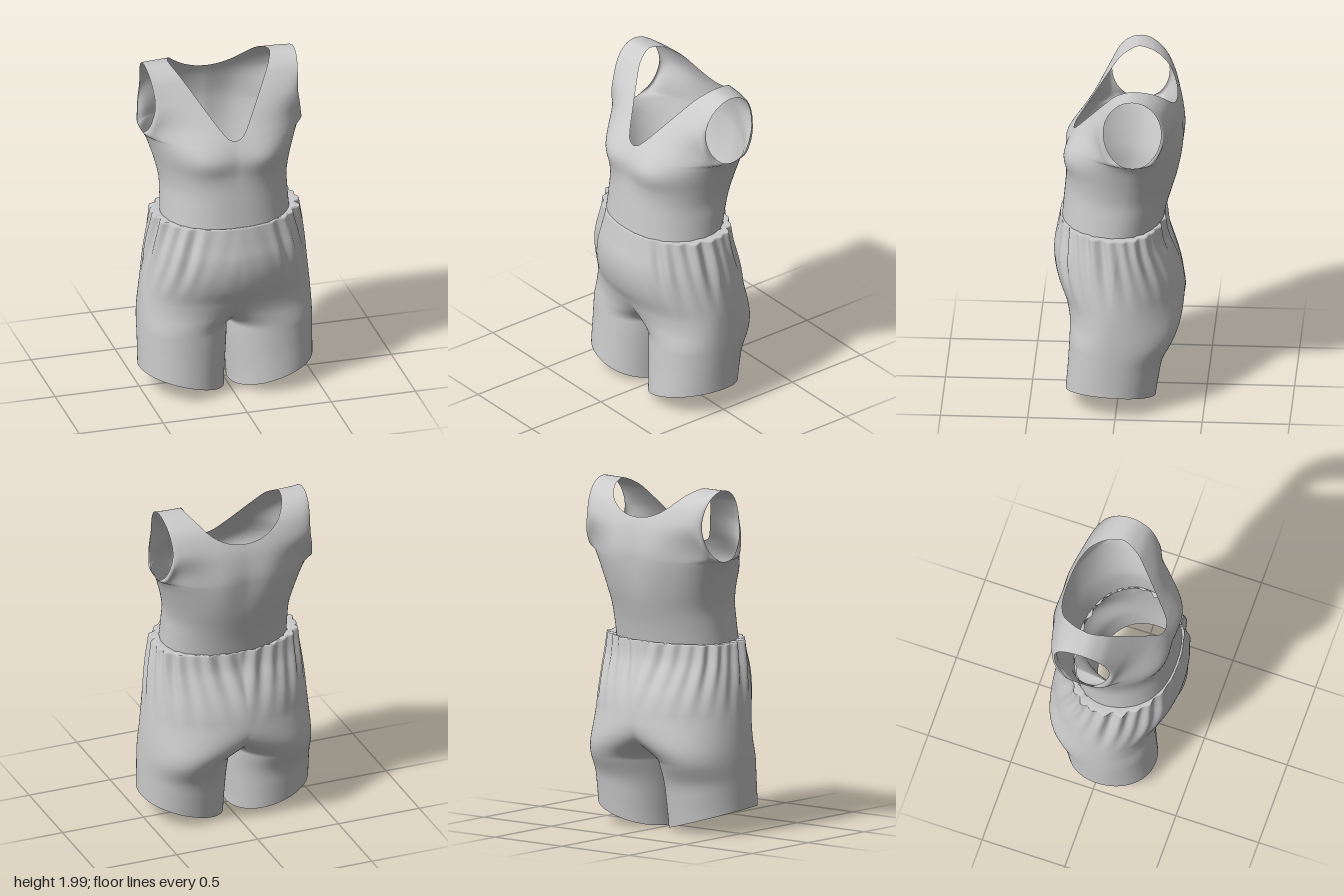
import * as THREE from 'three';
import { mergeVertices } from 'three/addons/utils/BufferGeometryUtils.js';

const { smoothstep, lerp } = THREE.MathUtils;

// Smooth curve through [y, value] points, sorted by y and held beyond the ends.
function curve(pts) {
  const slope = (i) => {
    const a = pts[Math.max(i - 1, 0)], b = pts[Math.min(i + 1, pts.length - 1)];
    return (b[1] - a[1]) / (b[0] - a[0]);
  };
  return (y) => {
    if (y <= pts[0][0]) return pts[0][1];
    for (let i = 0; i < pts.length - 1; i++) {
      const [y0, v0] = pts[i], [y1, v1] = pts[i + 1];
      if (y > y1) continue;
      const h = y1 - y0, t = (y - y0) / h, t2 = t * t, t3 = t2 * t;
      return v0 * (2 * t3 - 3 * t2 + 1) + v1 * (3 * t2 - 2 * t3)
        + h * (slope(i) * (t3 - 2 * t2 + t) + slope(i + 1) * (t3 - t2));
    }
    return pts[pts.length - 1][1];
  };
}

// Sheets are rows of points, top to bottom, on the +x half; each is mirrored and welded.
function clothMesh(name, sheets) {
  const pos = [], index = [];
  for (const rows of sheets) for (const side of [1, -1]) {
    const base = pos.length / 3, n = rows[0].length;
    rows.forEach((row) => row.forEach(([x, y, z]) => pos.push(side * x, y, z)));
    for (let i = 0; i < rows.length - 1; i++) for (let j = 0; j < n - 1; j++) {
      const a = base + i * n + j, b = a + n, c = b + 1, d = a + 1;
      if (side > 0) index.push(a, b, c, a, c, d);
      else index.push(a, c, b, a, d, c);
    }
  }
  let geo = new THREE.BufferGeometry();
  geo.setAttribute('position', new THREE.Float32BufferAttribute(pos, 3));
  geo.setIndex(index);
  geo = mergeVertices(geo, 1e-4);
  geo.computeVertexNormals();
  const mesh = new THREE.Mesh(geo, new THREE.MeshStandardMaterial({ color: 0xcccccc, side: THREE.DoubleSide }));
  mesh.name = name;
  return mesh;
}

// Evenly spaced heights from a down to b, b left out.
const span = (a, b, n) => Array.from({ length: n }, (_, i) => lerp(a, b, i / n));

// Sleeveless top: front and back panels that part around the armholes and meet on the shoulders.
function buildTop() {
  const width = curve([[1.07, 0.375], [1.2, 0.37], [1.3, 0.37], [1.4, 0.39], [1.5, 0.42], [1.55, 0.438],
    [1.59, 0.452], [1.63, 0.452], [1.7, 0.44], [1.8, 0.425], [1.9, 0.43], [2, 0.445]]);
  const front = curve([[1.07, 0.332], [1.2, 0.32], [1.4, 0.302], [1.52, 0.3], [1.62, 0.262], [1.7, 0.21],
    [1.8, 0.135], [1.9, 0.055], [1.95, 0.01], [1.98, -0.04], [1.995, -0.075], [2, -0.095]]);
  const back = curve([[1.07, -0.25], [1.2, -0.28], [1.4, -0.335], [1.6, -0.36], [1.7, -0.357], [1.8, -0.338],
    [1.9, -0.293], [1.95, -0.245], [1.98, -0.19], [1.995, -0.13], [2, -0.095]]);
  const sideZ = curve([[1.07, 0.02], [1.3, -0.03], [1.59, -0.095]]);
  const neckFront = curve([[1.62, 0], [1.63, 0.03], [1.65, 0.055], [1.7, 0.093], [1.8, 0.16], [1.9, 0.226],
    [1.95, 0.26], [2, 0.3]]);
  const neckBack = curve([[1.83, 0], [1.833, 0.04], [1.843, 0.09], [1.87, 0.155], [1.92, 0.222], [1.96, 0.258], [2, 0.3]]);

  const heights = [...span(2, 1.98, 6), ...span(1.98, 1.85, 10), ...span(1.85, 1.83, 6), ...span(1.83, 1.65, 14),
    ...span(1.65, 1.62, 6), ...span(1.62, 1.59, 8), ...span(1.59, 1.07, 30), 1.07];
  const N = 36;
  const panel = (isFront) => heights.map((y) => {
    const xa = width(y), xn = Math.max(0, (isFront ? neckFront : neckBack)(y));
    const sign = isFront ? 1 : -1;
    const hole = y > 1.59 ? sign * 0.165 * Math.sqrt(Math.max(0, 1 - ((y - 1.795) / 0.205) ** 2)) : 0;
    const zs = sideZ(y), zf = (isFront ? front : back)(y);
    const strap = smoothstep(y, 1.59, 1.82);
    const row = Array.from({ length: N + 1 }, (_, j) => {
      const x = xn + (xa - xn) * Math.sin((j / N) * Math.PI / 2), u = x / xa;
      const dome = Math.sqrt(Math.max(0, 1 - u ** (isFront ? 2.4 : 2.15)));
      // Near the armpit only the cloth at the edge follows the armhole
      const low = zs + (zf - zs) * dome + hole * u ** 14;
      const high = zs + hole + (zf - zs - hole) * dome;
      let z = lerp(low, high, strap);
      // Bust on the front, shoulder blades on the back
      if (isFront) z += 0.032 * dome * Math.exp(-(((x - 0.2) / 0.15) ** 2) - ((y - 1.51) / 0.11) ** 2);
      else z -= 0.015 * dome * Math.exp(-(((x - 0.14) / 0.1) ** 2) - ((y - 1.6) / 0.18) ** 2);
      // Armhole edge stands out a little at its foot
      const flare = 0.012 * u ** 14 * Math.exp(-(((y - 1.6) / 0.03) ** 2));
      return [x + flare, y, z];
    });
    return isFront ? row : row.reverse();
  });
  return clothMesh('sleevelessTop', [panel(true), panel(false)]);
}

// Shorts: one half section per height that turns into a closed leg below the crotch.
function buildShorts() {
  const width = curve([[0.08, 0.508], [0.4, 0.508], [0.6, 0.497], [0.8, 0.474], [0.95, 0.453], [1.05, 0.436], [1.105, 0.428]]);
  const front = curve([[0.08, 0.295], [0.3, 0.28], [0.5, 0.275], [0.6, 0.3], [0.7, 0.345], [0.8, 0.37],
    [0.9, 0.374], [1, 0.358], [1.105, 0.34]]);
  const back = curve([[0.04, -0.212], [0.2, -0.238], [0.3, -0.26], [0.4, -0.312], [0.5, -0.355], [0.6, -0.372],
    [0.7, -0.366], [0.8, -0.345], [0.9, -0.31], [1, -0.275], [1.105, -0.262]]);
  const N = 150;
  const section = (Y) => {
    const xs = width(Y), cz = lerp(0.03, -0.005, smoothstep(Y, 0.4, 1.1));
    const n = 2.1;
    const gap = 0.018 * (1 - smoothstep(Y, 0.08, 0.4));
    const cx = (xs + gap) / 2 * (1 - smoothstep(Y, 0.4, 0.7));
    const b = xs - cx;
    const start = cx >= b ? 0 : Math.acos((cx / b) ** (n / 2));
    const power = (v) => Math.sign(v) * Math.abs(v) ** (2 / n);
    const gather = 0.011 * smoothstep(Y, 0.62, 1.05);
    const hem = 1 - smoothstep(Y, 0.08, 0.42);
    return Array.from({ length: N + 1 }, (_, j) => {
      const a = lerp(start, 2 * Math.PI - start, j / N);
      const c = power(Math.cos(a)), s = power(Math.sin(a));
      let x = cx - b * c;
      let z = cz + (s > 0 ? front(Y) - cz : cz - back(Y)) * s;
      // Slanting gathers under the waist, softer at the middle of the front
      const soft = s > 0 ? 0.12 + 0.88 * smoothstep(x, 0.14, 0.34) : 0.7;
      const fold = gather * soft * (Math.sin(25 * a + 13 * Y) + 0.6 * Math.sin(17 * a + 4 * Y + 1));
      x = Math.max(0, x - fold * c * smoothstep(x, 0, 0.05));
      z += fold * s;
      // Hem rises to the outside
      return [x, Y + hem * (0.28 * (x - 0.27) + 0.06 * (z - 0.04)), z];
    });
  };
  const heights = [...span(1.105, 0.7, 30), ...span(0.7, 0.44, 28), ...span(0.44, 0.4, 12), ...span(0.4, 0.08, 24), 0.08];
  const rows = heights.map(section);
  // Waist seam tucked in against the top
  rows.unshift(rows[0].map(([x, y, z]) => [x * 0.85, y - 0.008, z * 0.93]));
  return clothMesh('shorts', [rows]);
}

export function createModel() {
  const group = new THREE.Group();
  group.name = 'playsuit';
  group.add(buildTop(), buildShorts());
  return group;
}
